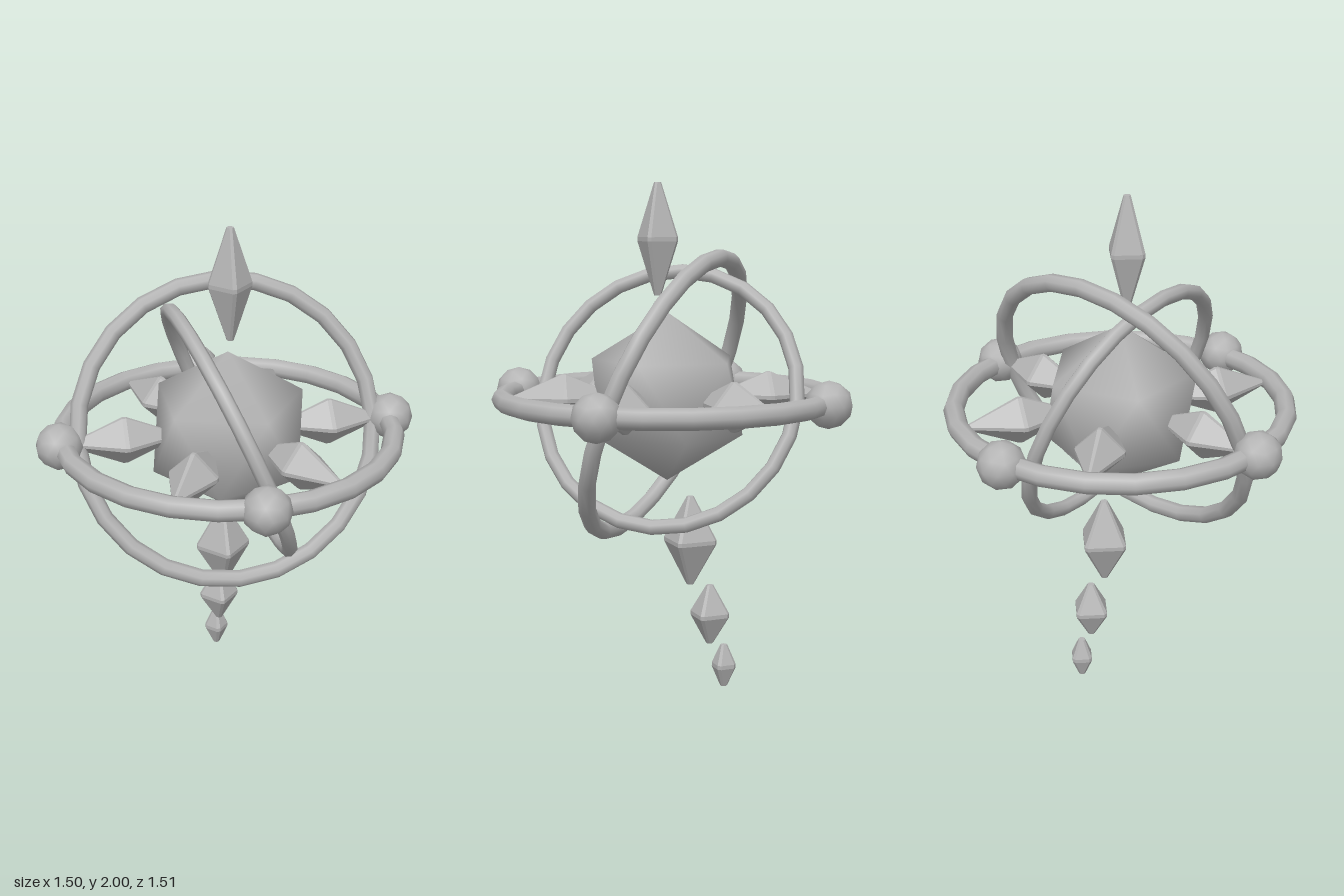
import * as THREE from 'three';
import { mergeVertices } from 'three/addons/utils/BufferGeometryUtils.js';
import { ConvexGeometry } from 'three/addons/geometries/ConvexGeometry.js';

const CENTER = 1.16;

// Smooth-shaded icosphere with one corner pointing straight up
function icosphere(radius, detail) {
  const g = new THREE.IcosahedronGeometry(radius, detail);
  g.deleteAttribute('normal');
  g.deleteAttribute('uv');
  const merged = mergeVertices(g, 1e-4);
  merged.rotateZ(-Math.atan(2 / (1 + Math.sqrt(5))));
  merged.computeVertexNormals();
  return merged;
}

// Four-sided double-pointed crystal along y, with narrow bevels and blunt tips
function crystal(radius, half, bevel = 0.008) {
  const points = [];
  const ring = (r, b, y) => {
    for (const s of [-1, 1]) for (const t of [-1, 1]) {
      points.push(new THREE.Vector3(s * r, y, t * b), new THREE.Vector3(t * b, y, s * r));
    }
  };
  for (const s of [-1, 1]) {
    ring(radius, bevel, s * bevel);
    ring(0.013, 0.005, s * half);
  }
  return new ConvexGeometry(points);
}

export function createModel() {
  const model = new THREE.Group();
  model.name = 'ringedCrystalCore';
  const stone = new THREE.MeshStandardMaterial({ color: 0xb4b4b4 });
  stone.name = 'grey stone';

  const add = (name, geometry, x, y, z) => {
    const mesh = new THREE.Mesh(geometry, stone);
    mesh.name = name;
    mesh.position.set(x, y, z);
    model.add(mesh);
    return mesh;
  };

  // Faceted core
  add('core', icosphere(0.336, 0), 0, CENTER, 0);

  // Three nested rings
  const ring = (name, radius, tube) =>
    add(name, new THREE.TorusGeometry(radius, tube, 8, 24), 0, CENTER, 0);
  ring('outerRing', 0.652, 0.041).rotation.x = Math.PI / 2;
  ring('middleRing', 0.593, 0.034).rotation.x = -0.38;
  const inner = ring('innerRing', 0.527, 0.03);
  inner.geometry.rotateY(Math.PI / 2).rotateZ(0.38).rotateY(0.08);

  // Orbs on the outer ring and spikes around the core
  const orb = icosphere(0.093, 1);
  for (let i = 0; i < 4; i++) {
    const a = i * Math.PI / 2;
    add('orb', orb, 0.663 * Math.cos(a), CENTER, 0.663 * Math.sin(a));
  }
  const spike = crystal(0.095, 0.2).rotateZ(-Math.PI / 2);
  for (let i = 0; i < 6; i++) {
    const a = i * Math.PI / 3;
    add('spike', spike, 0.41 * Math.cos(a), CENTER, 0.41 * Math.sin(a)).rotation.y = -a;
  }

  // Floating crown crystal and the trailing tail: radius, half height, y, z
  add('crownCrystal', crystal(0.083, 0.22), 0, 1.78, 0.04);
  for (const [r, h, y, z] of [
    [0.11, 0.18, 0.585, -0.1],
    [0.08, 0.12, 0.29, -0.185],
    [0.048, 0.085, 0.085, -0.246],
  ]) add('tailCrystal', crystal(r, h), 0, y, z);

  return model;
}
